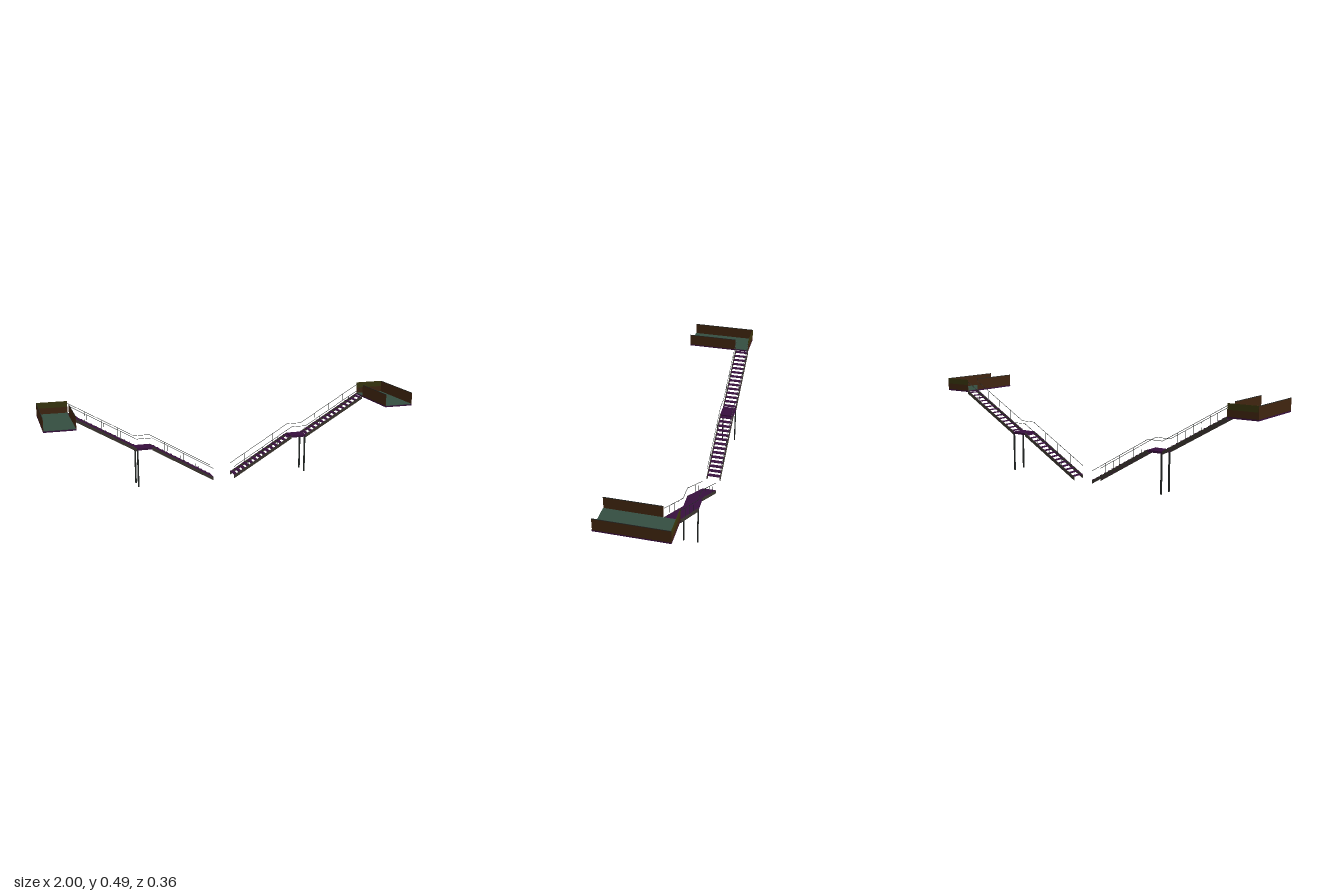
import * as THREE from 'three';

const paint = (name, color) => {
  const m = new THREE.MeshStandardMaterial({ color });
  m.name = name;
  return m;
};

export function createModel() {
  const purple = paint('dark purple steel', 0x370f3d);
  const green = paint('green floor', 0x344d40);
  const brown = paint('brown panel', 0x3f240f);
  const olive = paint('olive panel', 0x38350c);
  const stringerGrey = paint('warm grey stringer', 0x3a342e);
  const steel = paint('dark steel', 0x242826);

  const model = new THREE.Group();
  model.name = 'twinStaircases';

  const zFront = -0.106, zBack = -0.18;   // stair sides
  const zMid = (zFront + zBack) / 2;
  const sides = [zFront, zBack];
  const flights = [[0.06, 0.01, 0.405, 0.215], [0.49, 0.215, 0.84, 0.42]];
  const railRise = 0.059;

  function buildSide(s) {
    const side = new THREE.Group();
    side.name = s > 0 ? 'leftStair' : 'rightStair';

    // Box given by its bounds; x is mirrored by s
    const box = (name, mat, x0, x1, y0, y1, z0, z1) => {
      const mesh = new THREE.Mesh(new THREE.BoxGeometry(x1 - x0, y1 - y0, z1 - z0), mat);
      mesh.position.set(s * (x0 + x1) / 2, (y0 + y1) / 2, (z0 + z1) / 2);
      mesh.name = name;
      side.add(mesh);
    };
    // Thin round bar between two points at one z
    const bar = (name, x0, y0, x1, y1, z, r) => {
      const a = new THREE.Vector3(s * x0, y0, z), b = new THREE.Vector3(s * x1, y1, z);
      const mesh = new THREE.Mesh(new THREE.CylinderGeometry(r, r, a.distanceTo(b), 6), steel);
      mesh.position.copy(a).add(b).multiplyScalar(0.5);
      mesh.quaternion.setFromUnitVectors(new THREE.Vector3(0, 1, 0), b.sub(a).normalize());
      mesh.name = name;
      side.add(mesh);
    };

    for (const [x0, y0, x1, y1] of flights) {
      // Sloping stringers with upright ends
      const outline = new THREE.Shape([
        [x0, y0 - 0.01], [x1, y1 - 0.01], [x1, y1 + 0.008], [x0, y0 + 0.008],
      ].map(([x, y]) => new THREE.Vector2(s * x, y)));
      for (const z of sides) {
        const geo = new THREE.ExtrudeGeometry(outline, { depth: 0.005, bevelEnabled: false });
        const mesh = new THREE.Mesh(geo, stringerGrey);
        mesh.position.z = z - 0.0025;
        mesh.name = 'stringer';
        side.add(mesh);
      }
      // Open treads
      const count = 14;
      for (let i = 0; i < count; i++) {
        const t = (i + 0.5) / count;
        const x = x0 + (x1 - x0) * t, y = y0 + (y1 - y0) * t + 0.004;
        box('tread', purple, x - 0.011, x + 0.011, y - 0.0015, y + 0.0015, zBack, zFront);
      }
      // Handrails and balusters
      for (const z of sides) {
        bar('handrail', x0, y0 + railRise, x1, y1 + railRise, z, 0.0012);
        for (const t of [0.25, 0.5, 0.75]) {
          const x = x0 + (x1 - x0) * t, y = y0 + (y1 - y0) * t;
          bar('baluster', x, y, x, y + railRise, z, 0.001);
        }
      }
    }

    // Half landing with its rails and legs
    box('landing', purple, 0.403, 0.494, 0.21, 0.221, zBack - 0.002, zFront + 0.002);
    for (const z of sides) {
      bar('landingRail', 0.405, 0.274, 0.49, 0.274, z, 0.0012);
      box('leg', steel, 0.482, 0.49, 0.003, 0.212, z - 0.003, z + 0.003);
    }

    // Upper platform
    const xi = 0.84, xo = 1, zb = -0.181, zf = 0.181, w = 0.002, y0 = 0.427, y1 = 0.488;
    box('platformSlab', purple, xi, xo, 0.42, y0, zb, zf);
    box('platformFloor', green, xi + w, xo - w, y0, y0 + 0.002, zb + w, zf);
    box('outerPanel', brown, xo - w, xo, y0, y1, zb, zf - 0.002);
    box('innerPanel', brown, xi, xi + w, y0, y1, zFront + 0.004, zf - 0.002);
    box('endPanelLower', brown, xi, xo - w, y0, 0.46, zb, zb + w);
    box('endPanelUpper', olive, xi, xo - w, 0.46, y1, zb, zb + w);
    box('outerCap', steel, xo - w, xo, y1, 0.491, zb, zf - 0.002);
    box('innerCap', steel, xi, xi + w, y1, 0.491, zFront + 0.004, zf - 0.002);
    box('endCap', olive, xi, xo - w, y1, 0.491, zb, zb + w);
    return side;
  }

  model.add(buildSide(1), buildSide(-1));
  return model;
}
